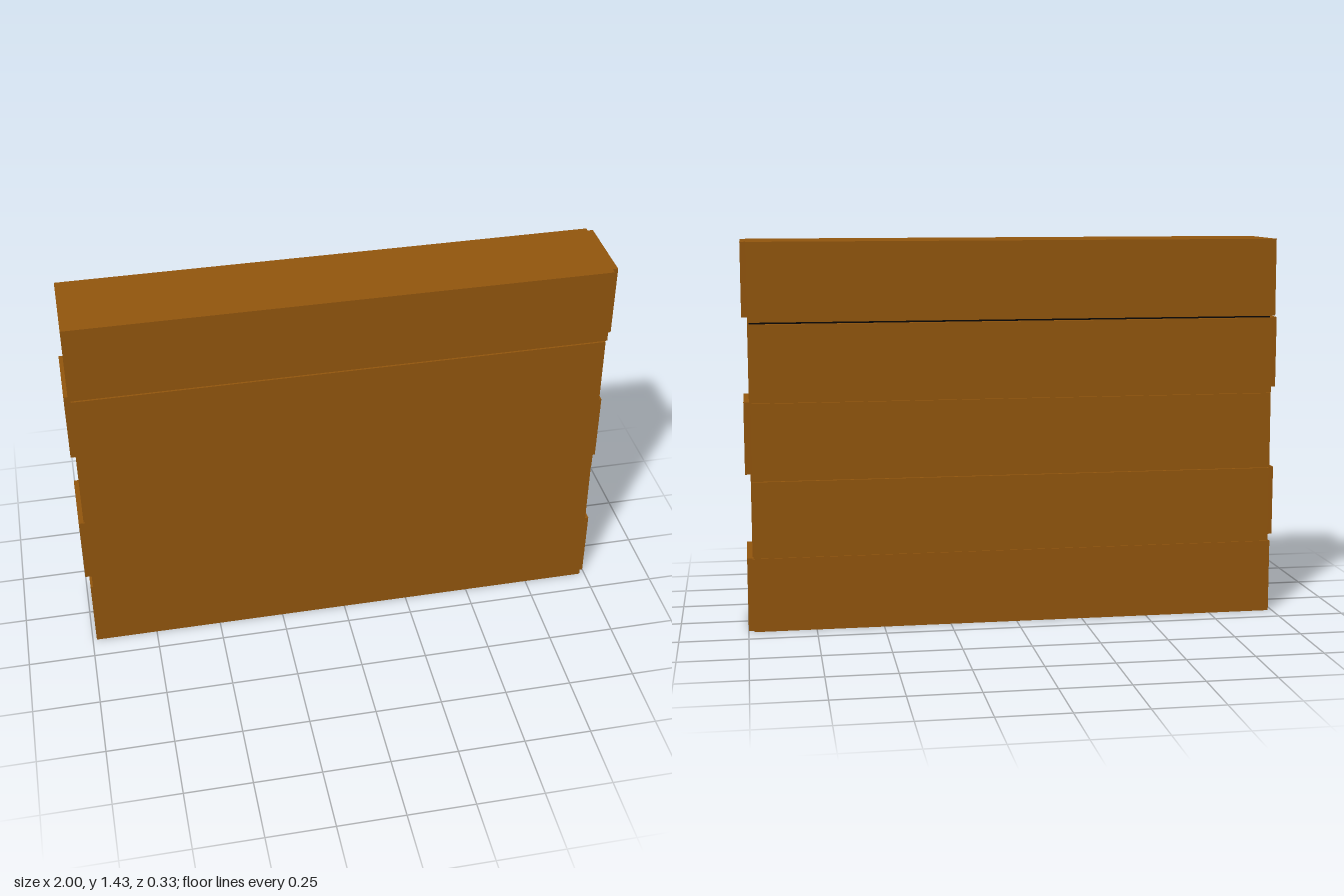
import * as THREE from 'three';

const wood = new THREE.MeshStandardMaterial({ color: 0x91550d, flatShading: true });
const dark = new THREE.MeshStandardMaterial({ color: 0x080604, flatShading: true });

// Box given by its limits on each axis
function block(name, x0, x1, y0, y1, z0, z1, material = wood) {
  const geometry = new THREE.BoxGeometry(x1 - x0, y1 - y0, z1 - z0);
  geometry.translate((x0 + x1) / 2, (y0 + y1) / 2, (z0 + z1) / 2);
  const mesh = new THREE.Mesh(geometry, material);
  mesh.name = name;
  return mesh;
}

// Moves the lower outer edge of a block down and outward, as on lapped siding
function flare(mesh, axis, side, drop, out) {
  const p = mesh.geometry.attributes.position;
  mesh.geometry.computeBoundingBox();
  const { min, max } = mesh.geometry.boundingBox;
  const mid = (min[axis] + max[axis]) / 2;
  const midY = (min.y + max.y) / 2;
  const k = { x: 0, y: 1, z: 2 }[axis];
  for (let i = 0; i < p.count; i++) {
    const v = p.array[i * 3 + k];
    if (p.getY(i) < midY && (v - mid) * side > 0) {
      p.array[i * 3 + k] = v + side * out;
      p.setY(i, p.getY(i) - drop);
    }
  }
  mesh.geometry.computeVertexNormals();
  return mesh;
}

export function createModel() {
  const wall = new THREE.Group();
  wall.name = 'plankWall';

  // Dark core seen through the gaps
  wall.add(block('core', -0.974, 0.974, 0.26, 1.18, -0.137, 0.137, dark));

  // Solid bottom and top courses
  wall.add(block('bottomCourse', -0.985, 0.98, 0, 0.275, -0.16, 0.163));
  wall.add(block('topCourse', -0.985, 0.98, 1.16, 1.43, -0.14, 0.14));

  // Front and back boards, each flared at its lower edge
  const courses = [[0.297, 0.56], [0.583, 0.848], [0.87, 1.134], [1.162, 1.43]];
  courses.forEach(([y0, y1], i) => {
    const top = i === 3;
    const x0 = top ? -0.985 : -0.976;
    const x1 = top ? 0.98 : 0.976;
    const inner = top ? 0.138 : 0.128;
    wall.add(flare(block('frontBoard', x0, x1, y0, y1, inner, 0.162), 'z', 1, 0.02, 0.004));
    wall.add(flare(block('backBoard', x0, x1, y0, y1, -0.16, -inner), 'z', -1, 0.02, 0.004));
  });

  // End planks stick out on alternate sides, course by course
  const ends = [[0, 0.275], [0.297, 0.56], [0.585, 0.85], [0.87, 1.135], [1.16, 1.43]];
  ends.forEach(([y0, y1], i) => {
    const odd = i % 2 === 1;
    const outer = i === 0 || i === 4;
    const low = odd ? y0 - 0.02 : y0;
    if (odd) {
      wall.add(block('rightEndPlank', 0.96, 0.98, low, y1 + 0.023, -0.13, 0.128));
      wall.add(block('leftEndPlank', -1, -0.96, y0, y1, -0.137, 0.127));
    } else {
      const z = outer ? 0.14 : 0.129;
      wall.add(block('rightEndPlank', 0.96, 1, y0, y1, -z - 0.004, z));
      if (!outer) wall.add(block('leftEndPlank', -0.982, -0.96, y0 - 0.02, y1 + 0.02, -0.13, 0.128));
    }
  });

  return wall;
}
